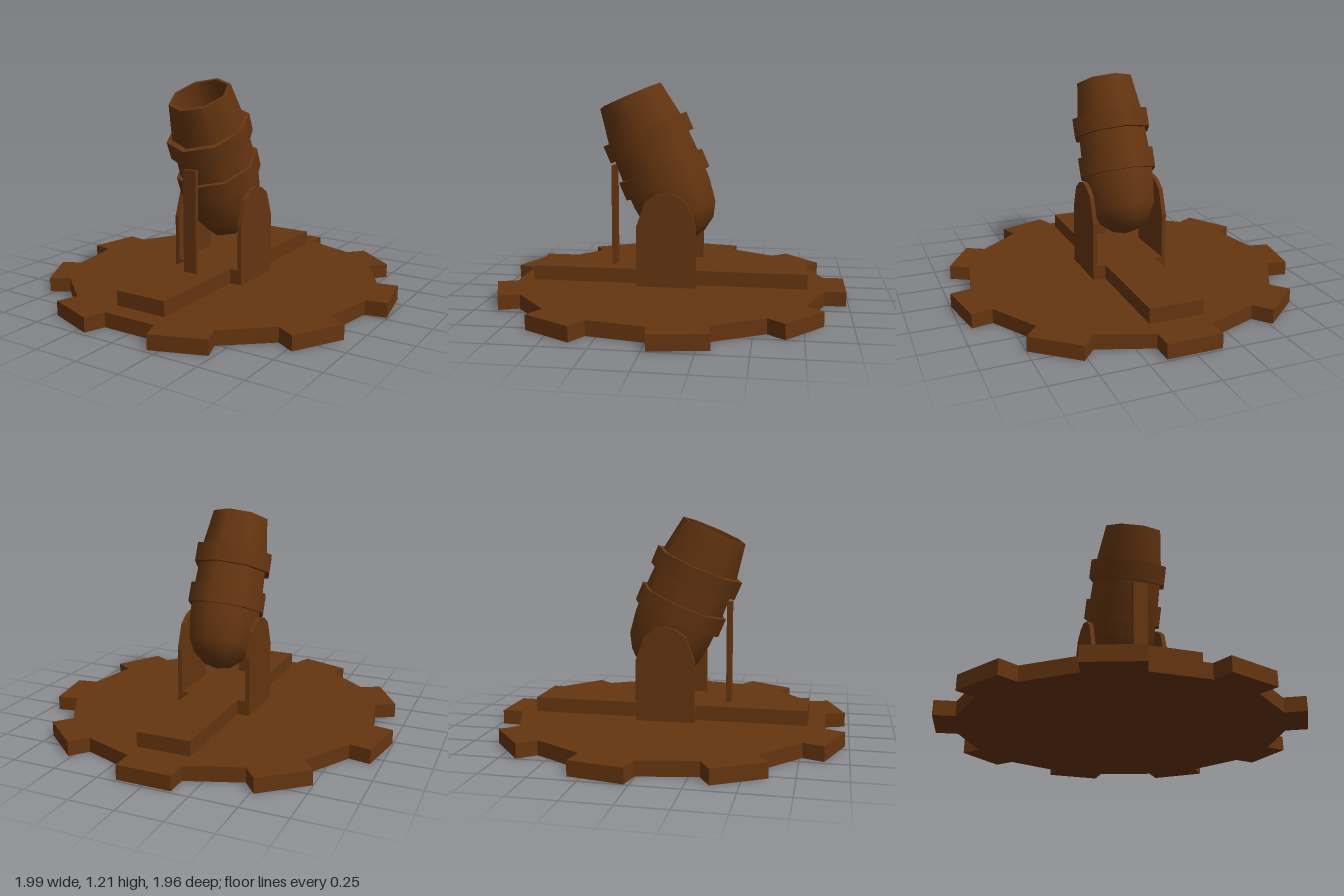
import * as THREE from 'three';

export function createModel() {
  const model = new THREE.Group();
  const wood = new THREE.MeshStandardMaterial({ color: 0x653510 });
  wood.name = 'brown';

  const add = (name, geometry, parent = model) => {
    const mesh = new THREE.Mesh(geometry, wood);
    mesh.name = name;
    parent.add(mesh);
    return mesh;
  };
  const box = (name, x0, x1, y0, y1, z0, z1) =>
    add(name, new THREE.BoxGeometry(x1 - x0, y1 - y0, z1 - z0))
      .position.set((x0 + x1) / 2, (y0 + y1) / 2, (z0 + z1) / 2);

  // Toothed turntable: nine square teeth
  const outline = [];
  for (let i = 0; i < 9; i++) {
    const a = -i * Math.PI * 2 / 9;
    for (const [x, y] of [[-0.15, 0.868], [-0.15, 0.985], [0.15, 0.985], [0.15, 0.868]]) {
      outline.push(new THREE.Vector2(x, y).rotateAround(new THREE.Vector2(), a));
    }
  }
  const gear = new THREE.ExtrudeGeometry(new THREE.Shape(outline), { depth: 0.08, bevelEnabled: false });
  add('turntable', gear.rotateX(-Math.PI / 2));

  // Bed plank and front prop
  box('bed', -0.15, 0.15, 0.088, 0.17, -0.775, 0.775);
  box('frontProp', -0.04, 0.04, 0.17, 0.74, 0.315, 0.34);

  // Side cheeks with rounded tops, each on a foot block
  const half = [[0.165, 0.088], [0.165, 0.425], [0.116, 0.56], [0.058, 0.602]];
  const cheekPoints = [...half, [0, 0.617], ...half.map(([z, y]) => [-z, y]).reverse()];
  const cheekShape = new THREE.Shape(cheekPoints.map(([z, y]) => new THREE.Vector2(z, y)));
  for (const side of [1, -1]) {
    const label = side > 0 ? 'left' : 'right';
    const cheek = new THREE.ExtrudeGeometry(cheekShape, { depth: 0.024, bevelEnabled: false });
    cheek.translate(0, 0, -0.012).rotateY(Math.PI / 2);
    add(label + 'Cheek', cheek).position.x = side * 0.208;
    const xs = [side * 0.15, side * 0.196].sort((a, b) => a - b);
    box(label + 'Foot', xs[0], xs[1], 0.088, 0.17, -0.165, 0.165);
  }

  // Barrel: eight-sided, slightly narrow in x, origin at the muzzle centre
  const barrel = new THREE.Group();
  barrel.name = 'barrel';
  barrel.position.set(0, 1.135, 0.235);
  barrel.rotation.x = 0.405;
  barrel.scale.x = 0.86;
  model.add(barrel);
  const lathe = (name, profile) =>
    add(name, new THREE.LatheGeometry(profile.map(([r, y]) => new THREE.Vector2(r, y)), 8), barrel);

  lathe('barrelBody', [[0, -0.885], [0.092, -0.867], [0.169, -0.816], [0.215, -0.736],
    [0.235, -0.6], [0.237, -0.45], [0.226, -0.21], [0.19, 0]]);
  lathe('muzzleRim', [[0.19, 0], [0.172, 0]]);
  lathe('bore', [[0.172, 0], [0.165, -0.3], [0.12, -0.42], [0, -0.46]]);

  // Two raised bands, faces separate so edges stay sharp
  for (const [name, top, bottom] of [['upperBand', -0.205, -0.31], ['lowerBand', -0.432, -0.541]]) {
    lathe(name, [[0.26, bottom], [0.26, top]]);
    lathe(name + 'Top', [[0.26, top], [0.2, top]]);
    lathe(name + 'Bottom', [[0.2, bottom], [0.26, bottom]]);
  }
  return model;
}
